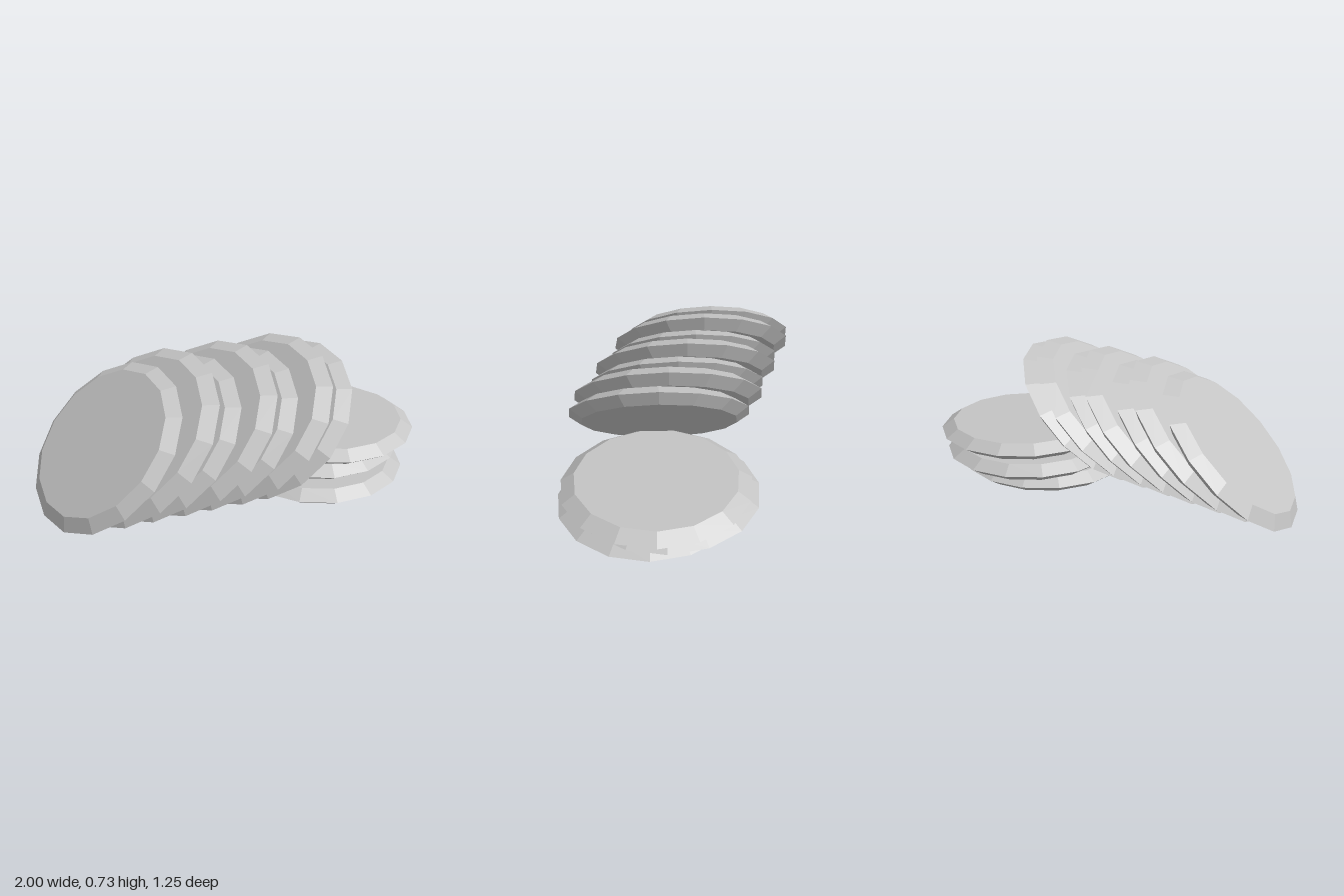
import * as THREE from 'three';

const SIDES = 15;
const THICKNESS = 0.0875;

// Faceted disc with flat faces and a rim that comes to an edge; a corner points to local +x
function discGeometry(radius, thickness) {
  const h = thickness / 2;
  const face = radius * 0.858;
  const profile = [[0, -h], [face, -h], [radius, 0], [face, h], [0, h]]
    .map(([x, y]) => new THREE.Vector2(x, y));
  const geometry = new THREE.LatheGeometry(profile, SIDES, Math.PI / 2).toNonIndexed();
  geometry.computeVertexNormals();
  return geometry;
}

export function createModel() {
  const model = new THREE.Group();
  model.name = 'discStacks';
  const grey = new THREE.MeshStandardMaterial({ color: 0xc4c4c4 });
  grey.name = 'light grey';

  const small = discGeometry(0.46, THICKNESS);
  const large = discGeometry(0.487, THICKNESS * 1.05);

  function addDisc(parent, name, geometry, x, y, z) {
    const disc = new THREE.Mesh(geometry, grey);
    disc.name = name;
    disc.position.set(x, y, z);
    parent.add(disc);
    return disc;
  }

  // Three discs lying flat, slightly offset
  const flatStack = new THREE.Group();
  flatStack.name = 'flatStack';
  [[0.425, 0.17], [0.48, 0.09], [0.54, 0.135]].forEach(([x, z], i) => {
    addDisc(flatStack, `flatDisc${i + 1}`, small, x, THICKNESS * (i + 0.5), z);
  });

  // Row of seven leaning discs, alternating in size
  const leaningRow = new THREE.Group();
  leaningRow.name = 'leaningRow';
  for (let i = 0; i < 7; i++) {
    const big = i % 2 === 1;
    const x = -0.677 + i * 0.138 + (big ? 0.017 : 0);
    const disc = addDisc(leaningRow, `leaningDisc${i + 1}`, big ? large : small,
      x, big ? 0.39 : 0.366, -0.17 + i * 0.048);
    disc.rotation.z = Math.PI / 4;
  }

  model.add(flatStack, leaningRow);
  return model;
}
